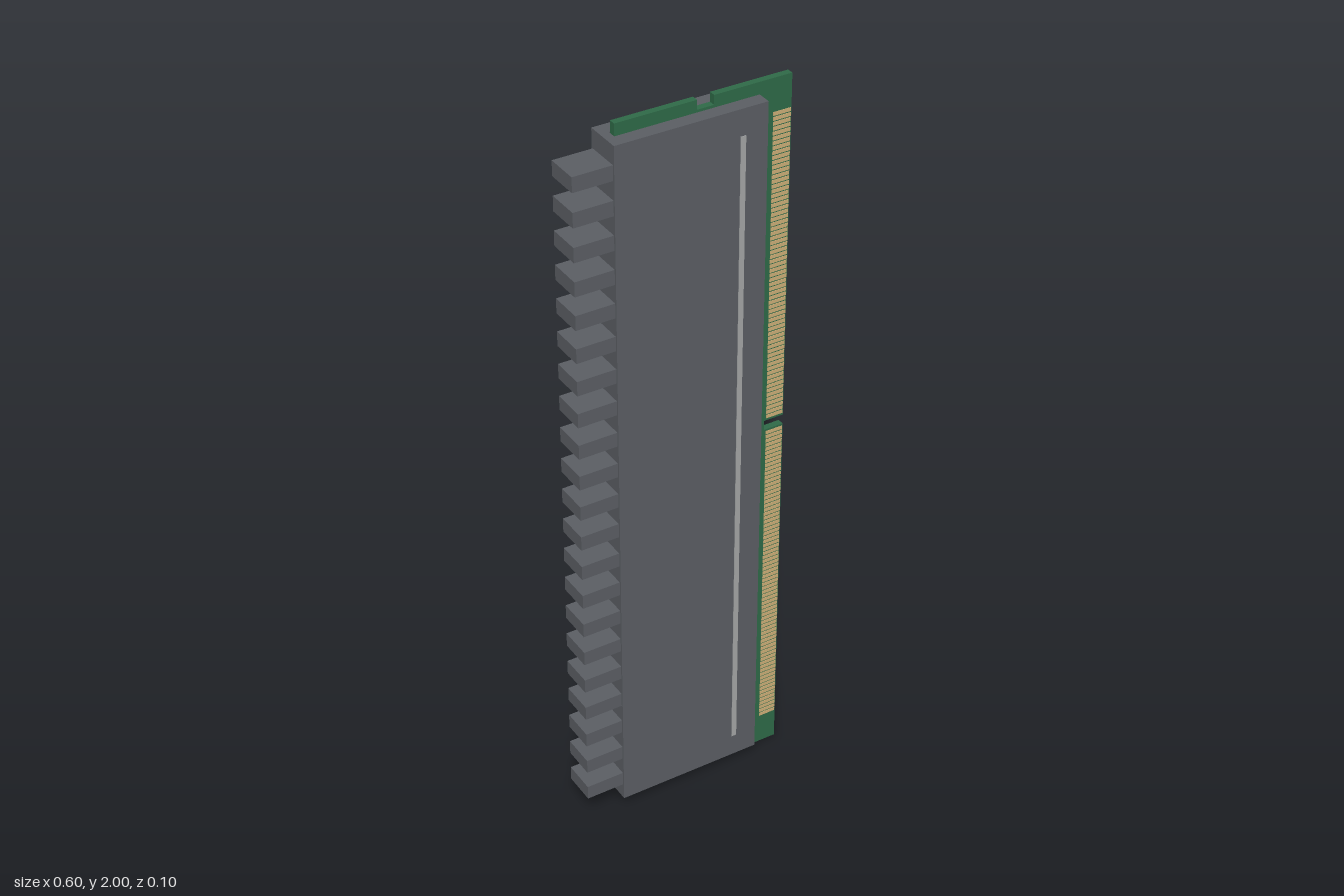
import * as THREE from 'three';

const mat = (name, color) => Object.assign(new THREE.MeshStandardMaterial({ color }), { name });

export function createModel() {
  const group = new THREE.Group();
  const metal = mat('grey metal', 0x5c5f65);
  const green = mat('board green', 0x2f6b48);
  const gold = mat('contact gold', 0xcfb079);
  const silver = mat('accent silver', 0xa6a8a8);
  const dark = mat('component dark', 0x24352c);

  // box given by its minimum and maximum corners
  const box = (name, material, x0, x1, y0, y1, z0, z1, parent = group) => {
    const m = new THREE.Mesh(new THREE.BoxGeometry(x1 - x0, y1 - y0, z1 - z0), material);
    m.position.set((x0 + x1) / 2, (y0 + y1) / 2, (z0 + z1) / 2);
    m.name = name;
    parent.add(m);
    return m;
  };
  const sub = (name) => {
    const g = new THREE.Group();
    g.name = name;
    group.add(g);
    return g;
  };

  // circuit board with end notches and a key slot in the contact edge
  const outline = [
    [-0.17, 0], [0.045, 0], [0.045, 0.025], [0.09, 0.025], [0.09, 0], [0.3, 0],
    [0.3, 1.028], [0.245, 1.028], [0.245, 1.055], [0.3, 1.055],
    [0.3, 2], [0.09, 2], [0.09, 1.975], [0.045, 1.975], [0.045, 2], [-0.17, 2],
  ].map(([x, y]) => new THREE.Vector2(x, y));
  const boardGeo = new THREE.ExtrudeGeometry(new THREE.Shape(outline), { depth: 0.018, bevelEnabled: false });
  boardGeo.translate(0, 0, -0.009);
  const board = new THREE.Mesh(boardGeo, green);
  board.name = 'circuitBoard';
  group.add(board);

  // heat spreader: spine joining two side plates, each with an accent strip
  box('spreaderSpine', metal, -0.195, -0.172, 0.035, 1.97, -0.05, 0.05);
  for (const s of [1, -1]) {
    const side = s > 0 ? 'front' : 'back';
    const span = (a, b) => (s > 0 ? [a, b] : [-b, -a]);
    box(side + 'Plate', metal, -0.172, 0.21, 0.035, 1.97, ...span(0.012, 0.05));
    box(side + 'AccentStrip', silver, 0.136, 0.15, 0.1, 1.9, ...span(0.049, 0.052));

    // gold contacts in two banks either side of the key slot
    const contacts = sub(side + 'Contacts');
    for (const [start, end] of [[0.088, 1.024], [1.06, 1.914]]) {
      const count = Math.round((end - start) / 0.0127);
      const pitch = (end - start) / count;
      for (let i = 0; i < count; i++) {
        const y = start + i * pitch;
        box('contact', gold, 0.25, 0.298, y + 0.0015, y + pitch - 0.0015, ...span(0.0085, 0.0102), contacts);
      }
    }

    // small surface components beside the plate edge
    const parts = sub(side + 'Components');
    for (let i = 0; i < 17; i++) {
      const y = 0.31 + i * 0.09;
      box('component', dark, 0.214, 0.224, y - 0.009, y + 0.009, ...span(0.009, 0.015), parts);
    }
  }

  // cooling fins along the spine
  const fins = sub('coolingFins');
  for (let i = 0; i < 21; i++) {
    const y = 0.1 + i * 0.09;
    box('fin', metal, -0.3, -0.195, y - 0.02, y + 0.02, -0.045, 0.045, fins);
  }
  return group;
}
